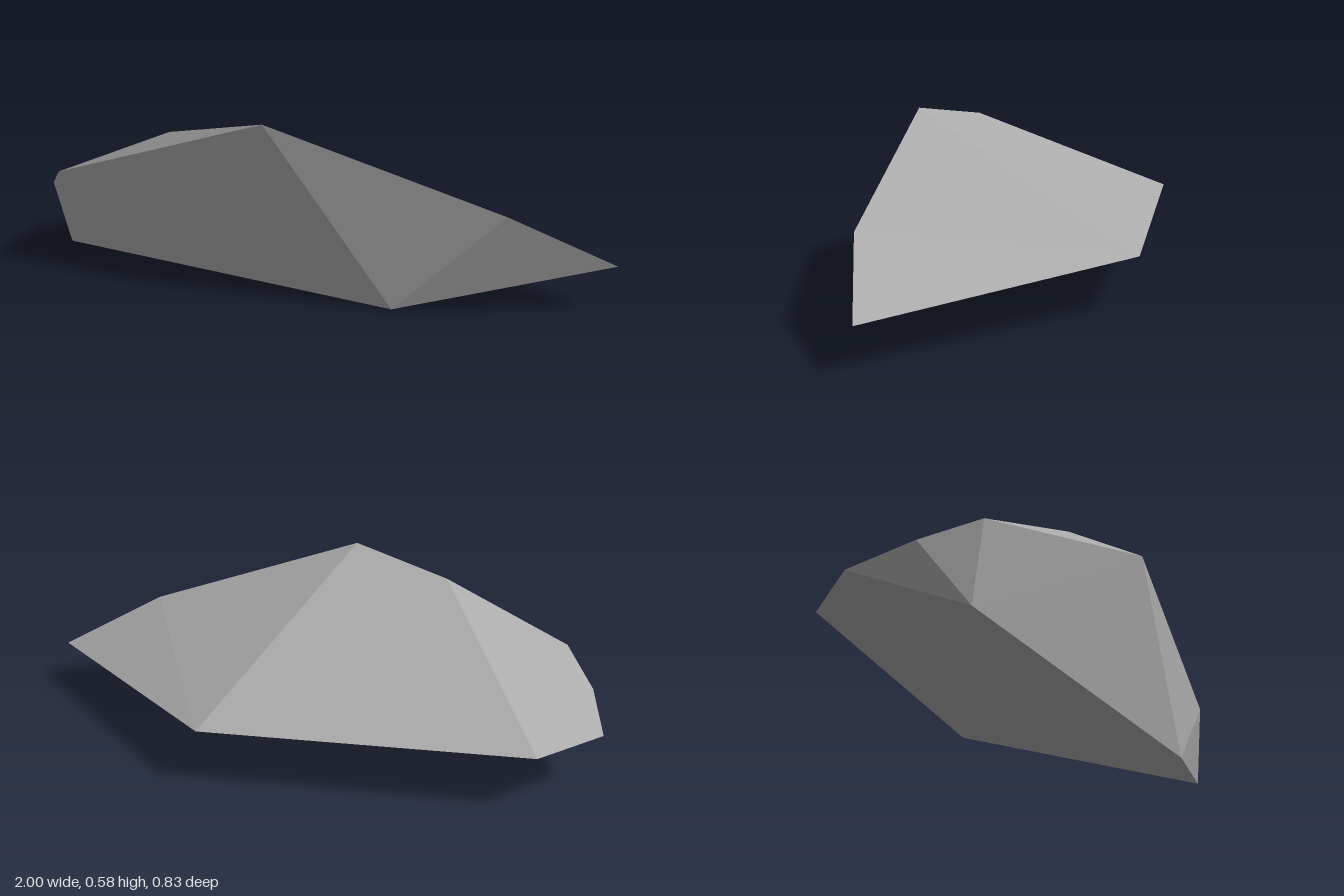
import * as THREE from 'three';
import { ConvexGeometry } from 'three/addons/geometries/ConvexGeometry.js';

// A faceted stone shard: the convex hull of its corners, with flat faces.
export function createModel() {
  const group = new THREE.Group();
  group.name = 'stoneShard';

  const stone = new THREE.MeshStandardMaterial({ color: 0xaaaaaa });
  stone.name = 'grey stone';

  const corners = [
    // thin back edge
    [-0.79, 0.187, -0.413], [0.295, 0.187, -0.413],
    // pointed tip
    [0.995, 0.147, 0.31],
    // front ridge, falling towards the blunt end
    [0.65, 0.32, 0.413], [-0.11, 0.58, 0.413], [-0.45, 0.513, 0.27], [-0.88, 0.335, 0.165],
    // blunt end
    [-0.968, 0.25, 0], [-1, 0.178, -0.2],
    // underside
    [0.3, 0, 0.413], [-0.79, 0.065, 0.122], [-0.86, 0.075, 0.125],
  ].map(([x, y, z]) => new THREE.Vector3(x, y, z));

  const shard = new THREE.Mesh(new ConvexGeometry(corners), stone);
  shard.name = 'shard';
  group.add(shard);
  return group;
}
